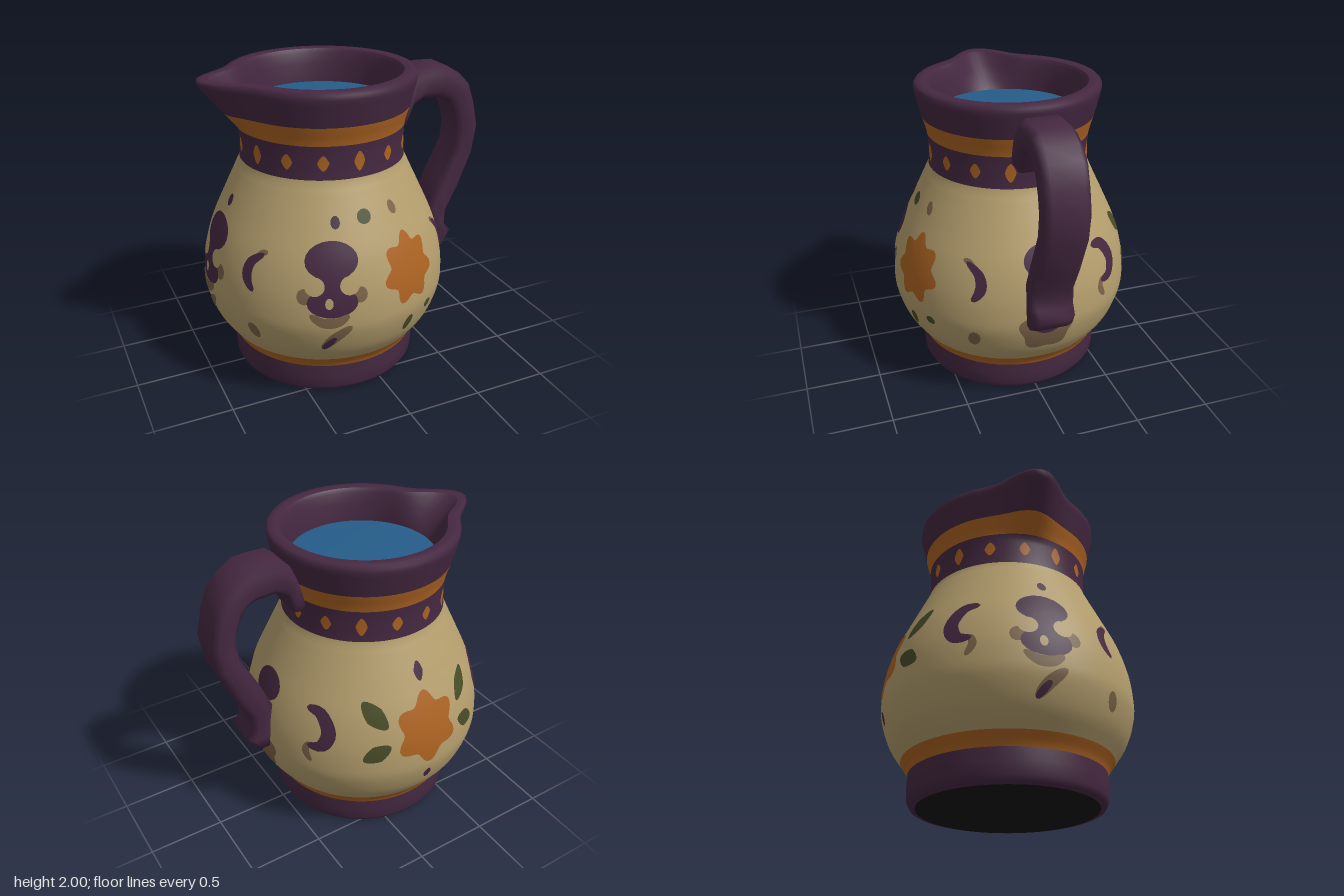
import * as THREE from 'three';
import { mergeVertices } from 'three/addons/utils/BufferGeometryUtils.js';
import { ParametricGeometry } from 'three/addons/geometries/ParametricGeometry.js';

const paint = (name, color) => {
  const m = new THREE.MeshStandardMaterial({ color });
  m.name = name;
  return m;
};

export function createModel() {
  const cream = paint('cream glaze', 0xb49e6d);
  const purple = paint('purple glaze', 0x452841);
  const orange = paint('orange glaze', 0xac6322);
  const green = paint('leaf green', 0x474b26);
  const brown = paint('faded brown', 0x7a6346);
  const blue = paint('water blue', 0x255d8a);
  const black = paint('black underside', 0x141414);

  const model = new THREE.Group();
  const vessel = new THREE.Group();
  vessel.name = 'vessel';
  vessel.position.x = -0.16;
  model.add(vessel);

  const add = (parent, name, geometry, material) => {
    const mesh = new THREE.Mesh(geometry, material);
    mesh.name = name;
    parent.add(mesh);
    return mesh;
  };

  // Outer wall: radius as a function of height
  const wall = new THREE.SplineCurve([
    [0.62, 0.1], [0.62, 0.2], [0.665, 0.28], [0.745, 0.4], [0.797, 0.55], [0.805, 0.66], [0.787, 0.82],
    [0.735, 1], [0.645, 1.2], [0.56, 1.38], [0.53, 1.46], [0.53, 1.65], [0.562, 1.78], [0.603, 1.95],
  ].map(p => new THREE.Vector2(...p))).getPoints(260);
  const radius = y => {
    const i = Math.min(Math.max(wall.findIndex(p => p.y >= y), 1), wall.length - 1);
    const a = wall[i - 1], b = wall[i];
    return a.x + (b.x - a.x) * THREE.MathUtils.clamp((y - a.y) / (b.y - a.y), 0, 1);
  };
  const between = (y0, y1, n) => Array.from({ length: n + 1 }, (_, i) => {
    const y = y0 + (y1 - y0) * i / n;
    return [radius(y), y];
  });

  // Turned part, pulled out towards -x above startY to shape the spout
  const turned = (name, profile, material, pull = 0.2, startY = 1.64) => {
    let g = new THREE.LatheGeometry(profile.map(p => new THREE.Vector2(...p)), 96);
    g.deleteAttribute('uv');
    g.deleteAttribute('normal');
    const pos = g.attributes.position;
    for (let i = 0; i < pos.count; i++) {
      const x = pos.getX(i), y = pos.getY(i), z = pos.getZ(i), r = Math.hypot(x, z);
      if (y <= startY || r < 0.01) continue;
      const off = Math.atan2(z, -x) / 0.27;
      const k = 1 + pull * (y - startY) / (2 - startY) * Math.exp(-off * off) / r;
      pos.setXYZ(i, x * k, y, z * k);
    }
    g = mergeVertices(g, 1e-5);
    g.computeVertexNormals();
    return add(vessel, name, g, material);
  };

  turned('underside', [[0, 0], [0.565, 0]], black);
  turned('foot', [[0.565, 0], [0.6, 0.008], [0.618, 0.04], [0.622, 0.12], [0.62, 0.2]], purple);
  turned('lowerBand', between(0.2, 0.285, 4), orange);
  turned('belly', between(0.285, 1.45, 40), cream);
  turned('neckBand', between(1.45, 1.66, 8), purple);
  turned('upperBand', between(1.66, 1.78, 5), orange);
  turned('rim', [...between(1.78, 1.95, 6), [0.602, 1.98], [0.585, 1.998], [0.55, 2], [0.52, 1.995]], purple);
  turned('innerWall', [[0.52, 1.995], [0.5, 1.97], [0.485, 1.9], [0.47, 1.82], [0.465, 1.76]], purple, 0.235, 1.78);
  turned('water', [[0.468, 1.78], [0.3, 1.785], [0, 1.785]], blue, 0);

  // Painted marks: a flat (sideways, height) mark is wrapped onto the wall at an angle from the front
  const mark = (name, deg, material, f, nu, nv, lift) => {
    const g = new ParametricGeometry((u, v, out) => {
      const [s, y, mid] = f(u, v);
      const a = THREE.MathUtils.degToRad(deg) + s / radius(mid);
      const r = radius(y) + lift;
      out.set(r * Math.sin(a), y, r * Math.cos(a));
    }, nu, nv);
    g.computeVertexNormals();
    add(vessel, name, g, material);
  };
  // Rounded mark with optional tilt and lobes
  const blob = (name, deg, material, s, y, rx, ry, { tilt = 0, lobes = 0, depth = 0, point = 0, lift = 0.004 } = {}) =>
    mark(name, deg, material, (u, v) => {
      const a = v * Math.PI * 2;
      const k = u * (1 + depth * Math.cos(lobes * (a - Math.PI / 2)));
      const px = rx * k * Math.cos(a) * (1 - point * Math.abs(Math.sin(a))), py = ry * k * Math.sin(a);
      return [s + px * Math.cos(tilt) - py * Math.sin(tilt), y + px * Math.sin(tilt) + py * Math.cos(tilt), y];
    }, 5, lobes ? 56 : 20, lift);
  // Brush stroke that tapers at both ends
  const stroke = (name, deg, material, points, width, lift = 0.004) => {
    const curve = new THREE.SplineCurve(points.map(p => new THREE.Vector2(...p)));
    mark(name, deg, material, (u, v) => {
      const p = curve.getPoint(u), t = curve.getTangent(u);
      const w = width * (v * 2 - 1) * Math.sqrt(Math.max(0, Math.sin(Math.PI * u)));
      return [p.x - t.y * w, p.y + t.x * w, points[0][1]];
    }, 16, 4, lift);
  };

  // Diamonds round the neck
  for (let i = 0; i < 15; i++)
    blob('neckDiamond', 2 + i * 24, orange, 0, 1.555, 0.036, i % 3 ? 0.048 : 0.062, { point: 0.4 });

  // Front and back flowers
  blob('frontFlower', 21, orange, 0, 0.88, 0.185, 0.2, { lobes: 7, depth: 0.15 });
  blob('backFlower', 180, orange, 0, 0.88, 0.205, 0.215, { lobes: 6, depth: 0.15 });
  blob('backDotUpper', 180, purple, 0, 1.24, 0.033, 0.06, { point: 0.3 });
  blob('backDotLower', 180, purple, 0, 0.52, 0.03, 0.045, { point: 0.3 });

  // Leaves and crescents, mirrored about the front-to-back line
  for (const m of [-1, 1]) {
    blob('upperLeaf', 180 + m * 27, green, 0, 1.03, 0.06, 0.115, { tilt: -m * 0.75, point: 0.3 });
    blob('lowerLeaf', 180 + m * 26, green, 0, 0.78, 0.06, 0.1, { tilt: m * 1.1, point: 0.3 });
    stroke('backCrescent', 180 + m * 55, purple,
      [[m * 0.08, 1.04], [-m * 0.02, 1.02], [-m * 0.08, 0.91], [-m * 0.04, 0.81], [m * 0.05, 0.8]], 0.045);
    stroke('backCrescentTail', 180 + m * 55, brown, [[m * 0.04, 0.82], [m * 0.06, 0.75], [m * 0.02, 0.68]], 0.025, 0.003);
    stroke('frontCrescent', m * 56, purple,
      [[-m * 0.06, 1.03], [m * 0.02, 0.97], [m * 0.045, 0.9], [m * 0.03, 0.84], [-m * 0.01, 0.79]], 0.034);
    stroke('frontCrescentTail', m * 56, brown, [[-m * 0.08, 1.04], [-m * 0.03, 1.02], [m * 0.02, 0.95]], 0.02, 0.003);
    blob('sideDot', m * 56, brown, 0, 0.51, 0.04, 0.06, { tilt: -m * 0.3 });
  }

  // Skull with a bone beneath it, on the front and below the spout
  for (const deg of [-19, 270]) {
    blob('skullCrown', deg, purple, 0, 1.02, 0.16, 0.11);
    stroke('skullBridge', deg, purple, [[0, 1.05], [0, 0.9], [0, 0.72]], 0.066);
    blob('skullCheeks', deg, purple, 0, 0.77, 0.155, 0.095);
    for (const m of [-1, 1]) {
      blob('skullEye', deg, cream, m * 0.105, 0.875, 0.06, 0.058, { lift: 0.008 });
      blob('skullSide', deg, brown, m * 0.17, 0.81, 0.045, 0.05, { lift: 0.003 });
    }
    blob('skullNose', deg, cream, -0.02, 0.77, 0.025, 0.036, { lift: 0.008 });
    stroke('skullJaw', deg, brown, [[-0.14, 0.7], [-0.06, 0.645], [0.03, 0.645], [0.1, 0.69]], 0.035, 0.006);
    stroke('bone', deg, brown, [[-0.06, 0.43], [0.01, 0.52], [0.11, 0.61]], 0.036);
    stroke('boneTip', deg, purple, [[-0.06, 0.43], [-0.02, 0.48], [0.02, 0.53]], 0.022, 0.007);
    blob('skullDot', deg, purple, 0.03, 1.225, 0.028, 0.036);
  }

  // Small scattered dots on the front
  blob('greenDotTop', 0, green, 0, 1.24, 0.045, 0.042);
  blob('brownDotTop', 19, brown, 0, 1.25, 0.028, 0.042, { tilt: 0.3 });
  blob('greenDotLow', 19.5, green, 0, 0.5, 0.034, 0.06, { tilt: -0.3 });
  blob('greenDotSide', 33, green, 0, 0.565, 0.037, 0.03);

  // Painted mark behind and below the handle
  blob('handleStain', 90, brown, 0, 0.58, 0.175, 0.16, { lobes: 5, depth: 0.1 });
  blob('handleStainCentre', 90, purple, 0, 0.65, 0.1, 0.09, { lift: 0.008 });
  blob('handleStainTop', 90, purple, 0, 1.04, 0.13, 0.1);

  // Handle: chamfered sections from outer edge to inner edge [outerX, outerY, innerX, innerY]
  const sections = [
    [0.33, 1.8, 0.34, 1.56], [0.39, 1.87, 0.4, 1.57], [0.48, 1.942, 0.435, 1.69], [0.58, 1.945, 0.52, 1.74],
    [0.69, 1.94, 0.65, 1.735], [0.79, 1.88, 0.71, 1.71], [0.87, 1.8, 0.745, 1.67], [0.92, 1.66, 0.78, 1.59],
    [0.957, 1.5, 0.8, 1.5], [0.93, 1.31, 0.79, 1.37], [0.83, 1.06, 0.67, 1.13], [0.745, 0.9, 0.59, 0.94],
    [0.738, 0.79, 0.61, 0.8], [0.79, 0.73, 0.6, 0.72], [0.73, 0.645, 0.62, 0.65],
  ];
  const outline = [[1, 0.72], [0.55, 1], [-0.55, 1], [-1, 0.72], [-1, -0.72], [-0.55, -1], [0.55, -1], [1, -0.72]];
  const verts = [], faces = [], n = outline.length;
  sections.forEach(([ox, oy, ix, iy], i) => {
    for (const [e, w] of outline)
      verts.push((ox + ix) / 2 + e * (ox - ix) / 2, (oy + iy) / 2 + e * (oy - iy) / 2, w * 0.14);
    if (!i) return;
    for (let j = 0; j < n; j++) {
      const a = (i - 1) * n + j, c = (i - 1) * n + (j + 1) % n;
      faces.push(a, c, a + n, c, c + n, a + n);
    }
  });
  const last = (sections.length - 1) * n;
  for (let j = 1; j < n - 1; j++) faces.push(last, last + j, last + j + 1);
  const handle = new THREE.BufferGeometry();
  handle.setAttribute('position', new THREE.Float32BufferAttribute(verts, 3));
  handle.setIndex(faces);
  handle.computeVertexNormals();
  add(model, 'handle', handle, purple);

  return model;
}
